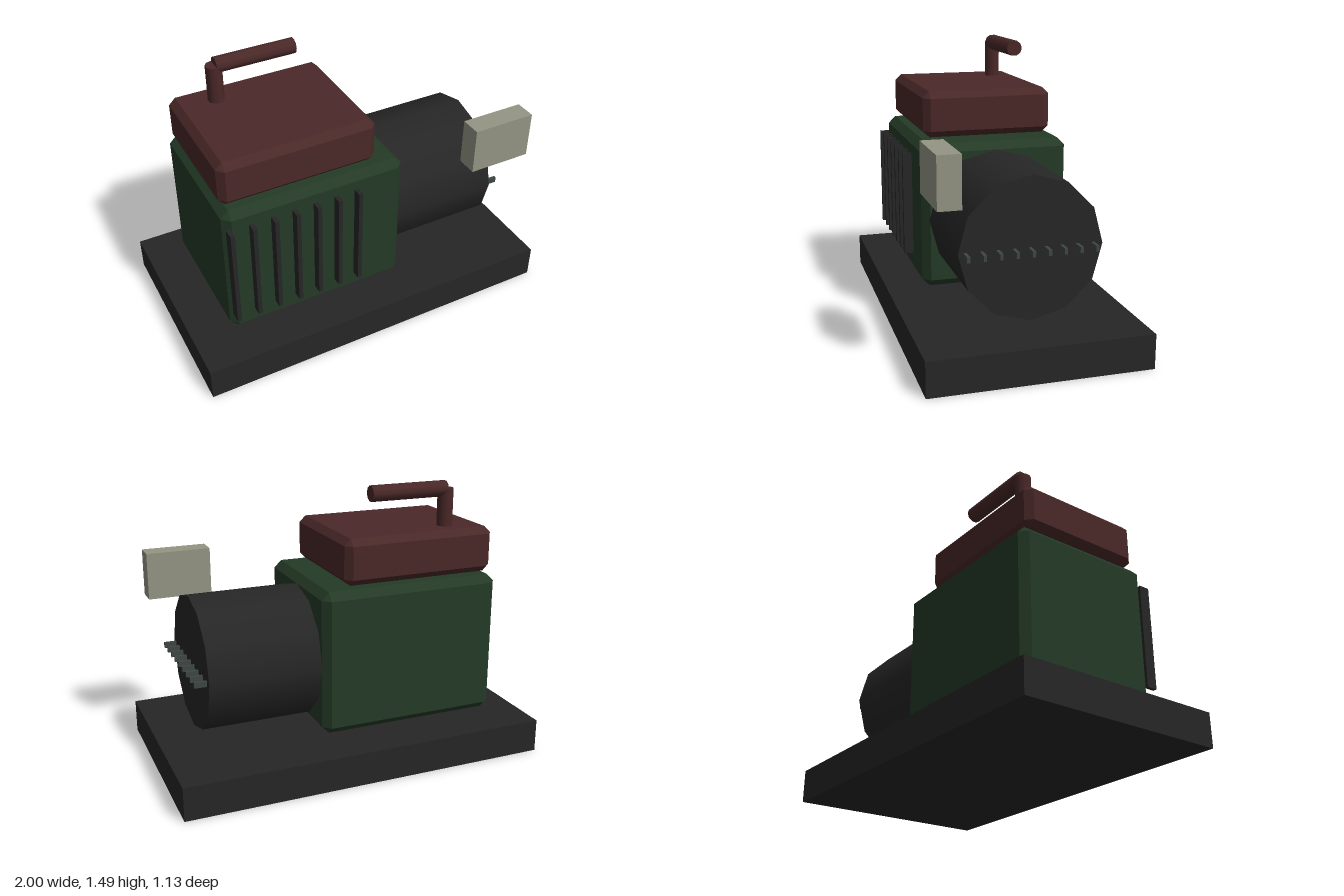
import * as THREE from 'three';
import { ConvexGeometry } from 'three/addons/geometries/ConvexGeometry.js';

function mat(name, color) {
  const m = new THREE.MeshStandardMaterial({ color });
  m.name = name;
  return m;
}

// Box with every edge cut by a single flat chamfer
function chamferedBox(w, h, d, c) {
  const points = [];
  for (const x of [-1, 1]) for (const y of [-1, 1]) for (const z of [-1, 1]) {
    const [a, b, e] = [w / 2, h / 2, d / 2];
    points.push(
      new THREE.Vector3(x * a, y * (b - c), z * (e - c)),
      new THREE.Vector3(x * (a - c), y * b, z * (e - c)),
      new THREE.Vector3(x * (a - c), y * (b - c), z * e));
  }
  return new ConvexGeometry(points);
}

export function createModel() {
  const model = new THREE.Group();
  model.name = 'pumpUnit';

  const charcoal = mat('charcoal', 0x262626);
  const green = mat('darkGreen', 0x243a26);
  const red = mat('darkRed', 0x4a2828);
  const grey = mat('slateGrey', 0x3e4644);
  const beige = mat('beigeGrey', 0x949584);

  function add(name, geometry, material, x, y, z, parent = model) {
    const mesh = new THREE.Mesh(geometry, material);
    mesh.name = name;
    mesh.position.set(x, y, z);
    parent.add(mesh);
    return mesh;
  }

  // Base slab and main bodies
  add('basePlate', new THREE.BoxGeometry(2, 0.18, 1.13), charcoal, 0, 0.09, 0);
  add('pumpHousing', chamferedBox(1, 0.77, 0.79, 0.04), green, -0.3, 0.61, 0);
  add('topCover', chamferedBox(0.85, 0.245, 0.7, 0.035), red, -0.365, 1.127, 0);

  // Twelve-sided motor lying along x
  const motor = add('motor', new THREE.CylinderGeometry(0.36, 0.36, 0.6, 12), charcoal, 0.495, 0.595, 0);
  motor.rotation.z = -Math.PI / 2;

  // Cooling fins on the front of the housing
  const fins = new THREE.Group();
  fins.name = 'coolingFins';
  model.add(fins);
  const finGeometry = new THREE.BoxGeometry(0.022, 0.565, 0.06);
  for (let i = 0; i < 7; i++) {
    add('coolingFin', finGeometry, charcoal, -0.777 + i * 0.116, 0.622, 0.415, fins);
  }

  // Row of small vent bars on the motor end
  const vents = new THREE.Group();
  vents.name = 'ventBars';
  model.add(vents);
  const ventGeometry = new THREE.BoxGeometry(0.08, 0.03, 0.016);
  for (let i = 0; i < 9; i++) {
    add('ventBar', ventGeometry, grey, 0.82, 0.588, 0.325 - i * 0.0793, vents);
  }

  // Outlet pipe: upright and horizontal arm
  add('pipeUpright', new THREE.CylinderGeometry(0.043, 0.043, 0.46, 10), red, -0.572, 1.22, -0.205);
  const arm = add('pipeArm', new THREE.CylinderGeometry(0.043, 0.043, 0.435, 10), red, -0.35, 1.448, -0.205);
  arm.rotation.z = -Math.PI / 2;

  // Terminal box beside the motor
  add('terminalBox', new THREE.BoxGeometry(0.35, 0.255, 0.115), beige, 0.745, 0.972, 0.427);

  return model;
}
